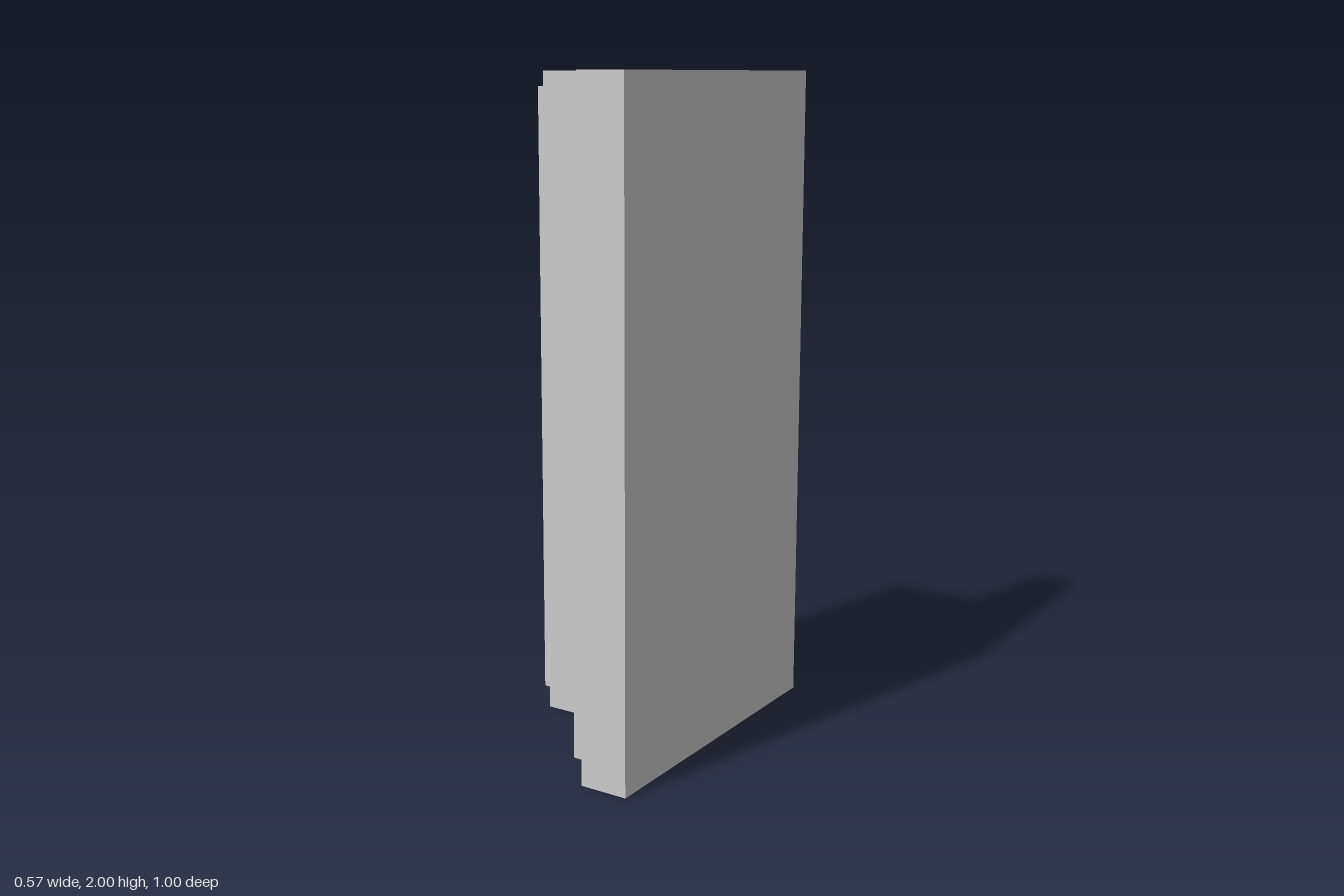
import * as THREE from 'three';

const material = new THREE.MeshStandardMaterial({ color: 0xcccccc, flatShading: true });

// Extrudes a floor-plan outline of [x, z] points from y0 up to y1
function prism(name, plan, y0, y1) {
  const shape = new THREE.Shape(plan.map(([x, z]) => new THREE.Vector2(x, -z)));
  const geometry = new THREE.ExtrudeGeometry(shape, { depth: y1 - y0, bevelEnabled: false });
  geometry.rotateX(-Math.PI / 2).translate(0, y0, 0);
  const mesh = new THREE.Mesh(geometry, material);
  mesh.name = name;
  return mesh;
}

export function createModel() {
  const group = new THREE.Group();
  group.name = 'wallJunction';

  const end = -0.2875, face = 0.1375, outer = 0.2875; // x of stem end, inner face, outer face
  const half = 0.075, skin = 0.025;                   // stem half thickness, lining thickness

  // T-shaped wall
  group.add(prism('wall', [
    [outer, 0.5], [outer, -0.5], [face, -0.5], [face, -half],
    [end, -half], [end, half], [face, half], [face, 0.5],
  ], 0, 2));

  // Thin L-shaped lining in the front corner, short of floor and ceiling
  group.add(prism('lining', [
    [face, 0.5], [face, half], [end, half], [end, half + skin],
    [face - skin, half + skin], [face - skin, 0.5],
  ], 0.08, 1.955));

  return group;
}
